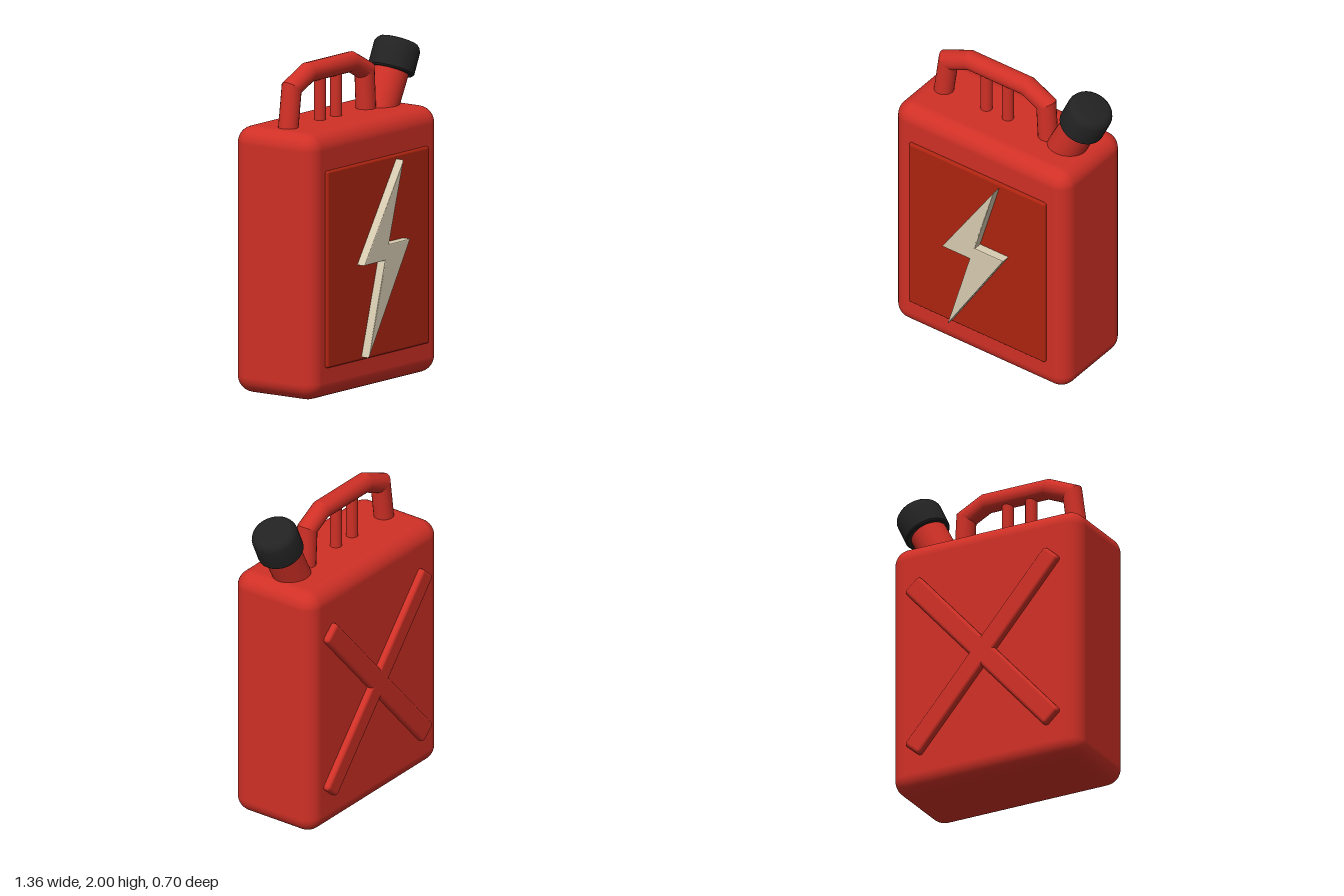
import * as THREE from 'three';
import { RoundedBoxGeometry } from 'three/addons/geometries/RoundedBoxGeometry.js';
import { toCreasedNormals } from 'three/addons/utils/BufferGeometryUtils.js';

const MID_X = -0.05, MID_Z = -0.02;

function material(name, color) {
  const m = new THREE.MeshStandardMaterial({ color });
  m.name = name;
  return m;
}

// Round bar along a path in the xy plane, with mitred bends
function mitredTube(points, radius, sides = 20) {
  const pts = points.map(([x, y]) => new THREE.Vector2(x, y));
  const last = pts.length - 1;
  const normal = (i) => {
    const d = pts[i + 1].clone().sub(pts[i]).normalize();
    return new THREE.Vector2(-d.y, d.x);
  };
  const positions = [], indices = [];
  pts.forEach((p, i) => {
    const a = normal(Math.max(i - 1, 0));
    const b = normal(Math.min(i, last - 1));
    const m = a.clone().add(b).normalize();
    m.multiplyScalar(radius / m.dot(a));
    for (let j = 0; j <= sides; j++) {
      const t = (j / sides) * Math.PI * 2;
      positions.push(p.x + m.x * Math.cos(t), p.y + m.y * Math.cos(t), radius * Math.sin(t));
    }
  });
  const row = sides + 1;
  for (let i = 0; i < last; i++) {
    for (let j = 0; j < sides; j++) {
      const a = i * row + j, b = a + row;
      indices.push(a, a + 1, b, b, a + 1, b + 1);
    }
  }
  const g = new THREE.BufferGeometry();
  g.setAttribute('position', new THREE.Float32BufferAttribute(positions, 3));
  g.setIndex(indices);
  return toCreasedNormals(g, 0.36);
}

export function createModel() {
  const group = new THREE.Group();
  group.name = 'fuelCan';
  const red = material('red', 0xd03026);
  const darkRed = material('dark red', 0xad2410);
  const cream = material('cream', 0xd8ccb2);
  const black = material('black', 0x222222);

  const add = (name, geometry, mat, x, y, z) => {
    const mesh = new THREE.Mesh(geometry, mat);
    mesh.name = name;
    mesh.position.set(x, y, z);
    group.add(mesh);
    return mesh;
  };

  // Tank and front panel
  add('tank', new RoundedBoxGeometry(1.27, 1.595, 0.59, 5, 0.1), red, MID_X, 0.7975, MID_Z);
  add('frontPanel', new RoundedBoxGeometry(1, 1.18, 0.06, 3, 0.015), darkRed, MID_X, 0.78, 0.265);

  // Raised lightning bolt
  const bolt = new THREE.Shape([
    [0.12, 1.345], [-0.262, 0.768], [-0.06, 0.768],
    [-0.22, 0.21], [0.188, 0.862], [-0.02, 0.862],
  ].map(([x, y]) => new THREE.Vector2(x, y)));
  add('bolt', new THREE.ExtrudeGeometry(bolt, {
    depth: 0.044, bevelEnabled: true, bevelThickness: 0.008, bevelSize: 0.008,
    bevelOffset: -0.008, bevelSegments: 2,
  }), cream, 0, 0, 0.298);

  // Crossed ribs on the back
  for (const side of [-1, 1]) {
    const rib = add('backRib', new RoundedBoxGeometry(1.43, 0.13, 0.08, 3, 0.022), red, MID_X, 0.78, -0.312);
    rib.rotation.z = side * 0.85;
  }

  // Carrying handle and its two posts
  add('handle', mitredTube([
    [-0.525, 1.54], [-0.485, 1.825], [-0.325, 1.895],
    [0.095, 1.895], [0.23, 1.825], [0.245, 1.54],
  ], 0.06), red, 0, 0, MID_Z);
  for (const x of [-0.207, -0.05]) {
    add('handlePost', new THREE.CylinderGeometry(0.036, 0.036, 0.34, 16), red, x, 1.71, MID_Z);
  }

  // Slanted spout
  const neck = add('spout', new THREE.CylinderGeometry(0.111, 0.111, 0.44, 32), red, 0.41, 1.642, MID_Z);
  neck.rotation.z = -0.48;

  // Screw cap with a bevelled rim
  const profile = [
    [0, 0], [0.132, 0], [0.14, 0.01], [0.14, 0.148],
    [0.132, 0.168], [0.115, 0.186], [0.1, 0.19], [0, 0.19],
  ].map(([x, y]) => new THREE.Vector2(x, y));
  const cap = add('cap', toCreasedNormals(new THREE.LatheGeometry(profile, 28), 0.6), black, 0.487, 1.78, MID_Z);
  cap.rotation.z = -0.436;

  return group;
}
